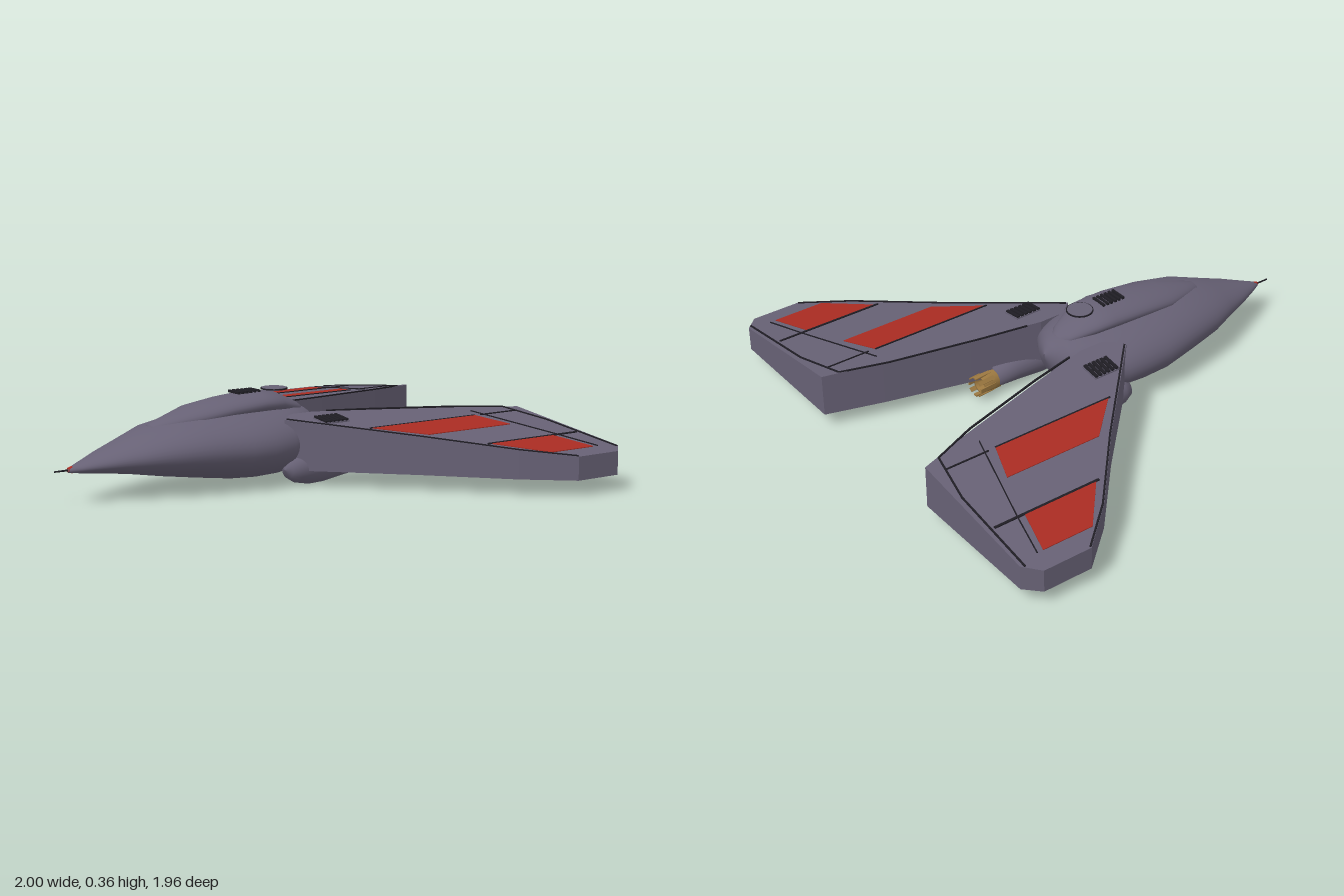
import * as THREE from 'three';

const mat = (name, color) => {
  const m = new THREE.MeshStandardMaterial({ color });
  m.name = name;
  return m;
};

// Height of the sloping wing upper surface
const wingTop = (x) => 0.262 - 0.13 * (Math.abs(x) - 0.2);

// Smooth hull from elliptical cross-sections [z, halfWidth, yTop, yBottom], rear to front
function loft(sections, n = 32) {
  const pos = [], idx = [];
  sections.forEach(([z, w, t, b], i) => {
    for (let j = 0; j < n; j++) {
      const a = (j / n) * Math.PI * 2;
      pos.push(w * Math.cos(a), (t + b) / 2 + ((t - b) / 2) * Math.sin(a), z);
      if (i === sections.length - 1) continue;
      const k = (j + 1) % n, p = i * n + j, q = i * n + k;
      idx.push(p, q, p + n, q, q + n, p + n);
    }
  });
  const g = new THREE.BufferGeometry();
  g.setAttribute('position', new THREE.Float32BufferAttribute(pos, 3));
  g.setIndex(idx);
  g.computeVertexNormals();
  return g;
}

// Slab from an [x, z] outline; bottom and top heights are functions of x
function slab(points, side, bottom, top) {
  const shape = new THREE.Shape(points.map(([x, z]) => new THREE.Vector2(x * side, -z)));
  const g = new THREE.ExtrudeGeometry(shape, { depth: 1, bevelEnabled: false });
  g.rotateX(-Math.PI / 2);
  const p = g.attributes.position;
  for (let i = 0; i < p.count; i++) {
    const x = p.getX(i);
    p.setY(i, p.getY(i) > 0.5 ? top(x) : bottom(x));
  }
  g.computeVertexNormals();
  return g;
}

// Thin plate lying on the wing
const plate = (points, side, h) => slab(points, side, (x) => wingTop(x) - 0.002, (x) => wingTop(x) + h);

// Narrow strip outline between two [x, z] points
function strip([x0, z0], [x1, z1], w) {
  const l = Math.hypot(x1 - x0, z1 - z0);
  const nx = (-(z1 - z0) / l) * w / 2, nz = ((x1 - x0) / l) * w / 2;
  return [[x0 + nx, z0 + nz], [x1 + nx, z1 + nz], [x1 - nx, z1 - nz], [x0 - nx, z0 - nz]];
}

// Body of revolution along z from [radius, z] points
const turned = (pts, n = 24) =>
  new THREE.LatheGeometry(pts.map(([r, z]) => new THREE.Vector2(r, z)), n).rotateX(Math.PI / 2);

export function createModel() {
  const grey = mat('hull grey', 0x676175);
  const red = mat('marking red', 0xaa2c22);
  const dark = mat('seam dark', 0x1f1d24);
  const brass = mat('nozzle brass', 0x9c7840);
  brass.side = THREE.DoubleSide;

  const model = new THREE.Group();
  const add = (parent, name, geo, material) => {
    const m = new THREE.Mesh(geo, material);
    m.name = name;
    parent.add(m);
    return m;
  };

  // Fuselage
  add(model, 'fuselage', loft([
    [-0.19, 0.003, 0.22, 0.2], [-0.165, 0.07, 0.26, 0.13], [-0.13, 0.13, 0.28, 0.09],
    [-0.05, 0.2, 0.295, 0.045], [0.05, 0.245, 0.3, 0.025], [0.15, 0.253, 0.301, 0.022],
    [0.25, 0.254, 0.3, 0.028], [0.4, 0.226, 0.292, 0.048], [0.55, 0.19, 0.266, 0.07],
    [0.67, 0.135, 0.225, 0.09], [0.78, 0.087, 0.188, 0.105], [0.88, 0.034, 0.152, 0.115],
    [0.92, 0.01, 0.139, 0.119], [0.925, 0.001, 0.13, 0.128],
  ], 40), grey);

  // Dorsal canopy
  add(model, 'canopy', loft([
    [-0.135, 0.003, 0.27, 0.25], [-0.13, 0.035, 0.284, 0.24], [-0.1, 0.058, 0.303, 0.25],
    [0, 0.1, 0.348, 0.26], [0.09, 0.11, 0.358, 0.26], [0.24, 0.108, 0.345, 0.252],
    [0.38, 0.1, 0.325, 0.236], [0.5, 0.058, 0.289, 0.235], [0.565, 0.035, 0.269, 0.23],
    [0.572, 0.003, 0.255, 0.245],
  ]), grey);

  // Roof hatch and canopy vent slats
  add(model, 'hatch', new THREE.CylinderGeometry(0.05, 0.05, 0.008, 28).translate(0, 0.357, -0.015), grey);
  add(model, 'hatchRim', new THREE.CylinderGeometry(0.054, 0.054, 0.005, 28).translate(0, 0.357, -0.015), dark);
  for (let i = 0; i < 6; i++) {
    add(model, 'canopySlat', new THREE.BoxGeometry(0.072, 0.01, 0.01).translate(0, 0.358, 0.08 + i * 0.019), dark);
  }

  // Nose probe
  add(model, 'noseProbe', new THREE.CylinderGeometry(0.003, 0.004, 0.07, 8)
    .rotateX(Math.PI / 2).translate(0, 0.13, 0.945), dark);
  add(model, 'noseRing', new THREE.CylinderGeometry(0.009, 0.014, 0.016, 16)
    .rotateX(Math.PI / 2).translate(0, 0.131, 0.914), red);

  const outline = [
    [0.19, 0.07], [0.57, -0.3], [0.85, -0.55], [1, -0.72], [1, -0.925], [0.94, -0.983],
    [0.36, -0.983], [0.29, -0.75], [0.2, -0.4], [0.13, -0.11], [0.13, 0],
  ];
  const redPanels = [
    [[0.41, -0.19], [0.56, -0.35], [0.56, -0.765], [0.41, -0.71]],
    [[0.74, -0.5], [0.92, -0.655], [0.92, -0.87], [0.74, -0.82]],
  ];
  // Panel lines: [start, end, width]
  const seams = [
    [[0.408, -0.18], [0.408, -0.71], 0.006], [[0.41, -0.74], [0.41, -0.93], 0.005],
    [[0.743, -0.49], [0.743, -0.95], 0.009],
    [[0.35, -0.74], [0.74, -0.85], 0.004], [[0.74, -0.85], [0.92, -0.895], 0.004],
    [[0.345, -0.915], [0.56, -0.96], 0.007], [[0.56, -0.96], [0.95, -0.968], 0.007],
    [[0.345, -0.915], [0.275, -0.73], 0.006], [[0.275, -0.73], [0.18, -0.36], 0.006],
    [[0.18, -0.36], [0.14, -0.17], 0.006],
    [[0.19, 0.06], [0.57, -0.306], 0.007], [[0.57, -0.306], [0.85, -0.556], 0.007],
    [[0.85, -0.556], [0.995, -0.722], 0.007],
  ];

  for (const side of [1, -1]) {
    const label = side > 0 ? 'left' : 'right';

    // Wing with markings and panel lines
    const wing = new THREE.Group();
    wing.name = label + 'Wing';
    model.add(wing);
    add(wing, 'wingSlab', slab(outline, side, () => 0.065, wingTop), grey);
    redPanels.forEach((p) => add(wing, 'redPanel', plate(p, side, 0.003), red));
    seams.forEach(([a, b, w]) => add(wing, 'panelLine', plate(strip(a, b, w), side, 0.004), dark));

    // Wing root vent
    add(wing, 'ventBase', plate([[0.215, -0.05], [0.298, -0.05], [0.298, -0.165], [0.215, -0.165]], side, 0.005), grey);
    for (let i = 0; i < 6; i++) {
      const z = -0.058 - i * 0.0195;
      add(wing, 'ventSlat', plate(strip([0.217, z], [0.296, z], 0.013), side, 0.012), dark);
    }

    // Engine pod beneath the wing root, toed in toward the rear
    const engine = new THREE.Group();
    engine.name = label + 'Engine';
    engine.position.set(side * 0.2, 0.069, 0);
    engine.rotation.y = side * 0.08;
    model.add(engine);
    add(engine, 'pod', turned([[0, -0.315], [0.044, -0.315], [0.052, -0.22], [0.066, -0.1],
      [0.067, -0.03], [0.055, 0.03], [0.035, 0.065], [0, 0.08]]), grey);

    // Nozzle with a ring of rear petals
    const nozzle = new THREE.Group();
    nozzle.name = 'nozzle';
    nozzle.position.y = -0.008;
    engine.add(nozzle);
    add(nozzle, 'nozzleBarrel', turned([[0.026, -0.35], [0.031, -0.385], [0.037, -0.385],
      [0.041, -0.35], [0.041, -0.305]]), brass);
    add(nozzle, 'nozzleThroat', new THREE.CircleGeometry(0.028, 20).rotateY(Math.PI).translate(0, 0, -0.352), dark);
    for (let i = 0; i < 8; i++) {
      add(nozzle, 'petal', new THREE.BoxGeometry(0.018, 0.006, 0.075)
        .translate(0, 0.039, -0.373).rotateZ((i * Math.PI) / 4), brass);
    }
  }
  return model;
}
